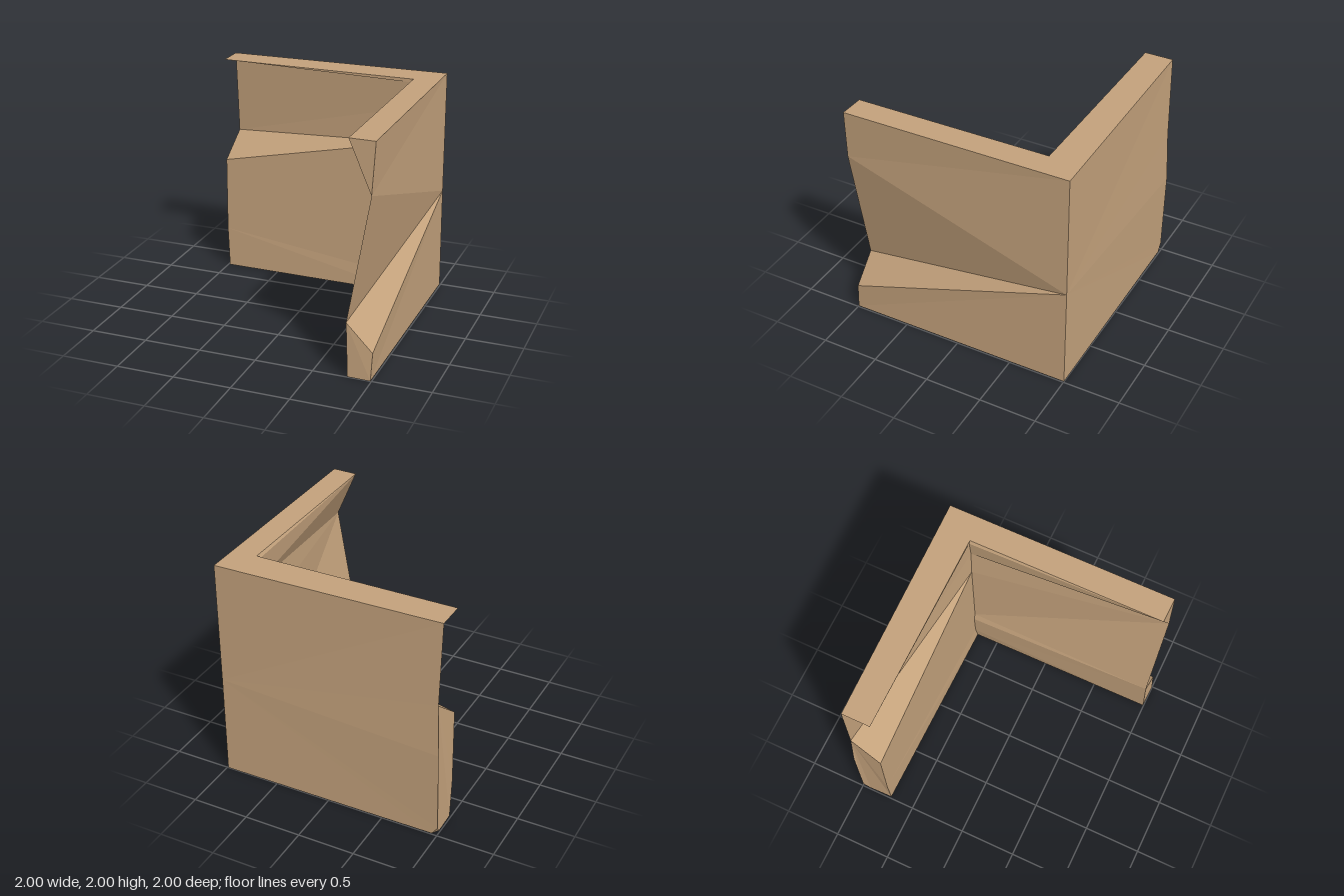
import * as THREE from 'three';

// Corner points, named by where they sit on the L-shaped wall
const P = {
  // outer corner, top to bottom
  o1: [0.985, 2, -1], o2: [0.985, 0.915, -1], o3: [0.99, 0, -1],
  // inner corner, top to bottom
  i1: [0.765, 2, -0.715], i2: [0.75, 1.97, -0.715], i3: [0.77, 1.75, -0.715], i4: [0.755, 1.43, -0.71],
  i5: [0.77, 0.5, -0.71], i6: [0.75, 0.43, -0.71], i7: [0.765, 0.15, -0.71], i8: [0.785, 0, -0.7],
  // broken end of the side wall
  b1: [0.775, 2, 0.985], b2: [0.995, 2, 0.99], b3: [0.97, 1.565, 1], b4: [0.775, 0.47, 0.985],
  b5: [1, 0.24, 0.985], b6: [0.99, 0, 1], b7: [0.795, 0, 0.995],
  // broken end of the back wall
  a1: [-1, 2, -0.72], a2: [-1, 2, -0.97], a3: [-0.98, 1.265, -0.985], a4: [-1, 1.05, -0.72],
  a5: [-0.985, 0, -0.72], a6: [-1, 0.8, -1], a9: [-1, 0.37, -0.72],
  // chip in the lower back corner
  c1: [-1, 0.07, -0.99], c2: [-0.95, 0, -0.99], c3: [-0.99, 0, -0.93],
};

// Each face group is a list of triangle fans; the first point is the hub
const faces = {
  sideWallOuter: ['o1 b2 b3', 'o2 o1 b3 b4 b5 b6 o3'],
  sideWallEnd: ['b1 b3 b2', 'b4 b7 b6 b5'],
  sideWallInner: ['b1 i1 i2 i3 b3', 'b3 i3 i4 i5 b4', 'b4 i5 i6 i7 b7', 'b7 i7 i8'],
  backWallInner: ['i1 a1 i2', 'a1 a2 i2', 'a3 i4 i3 i2 a2', 'i4 a3 a4', 'a4 a9 i5 i4', 'a9 a5 i8 i7 i6 i5'],
  backWallOuter: ['o2 o3 c2 c1 a6 a3 a2 o1'],
  backWallEnd: ['a3 a6 c1 c3 a5 a9 a4', 'c1 c2 c3'],
  wallTop: ['i1 b1 b2 o1 a2 a1'],
  wallBase: ['i8 a5 c3 c2 o3 b6 b7'],
};

function fanGeometry(fans) {
  const positions = [];
  for (const fan of fans) {
    const [hub, ...rim] = fan.split(' ').map((name) => P[name]);
    for (let k = 0; k < rim.length - 1; k++) positions.push(...hub, ...rim[k], ...rim[k + 1]);
  }
  const geometry = new THREE.BufferGeometry();
  geometry.setAttribute('position', new THREE.Float32BufferAttribute(positions, 3));
  geometry.computeVertexNormals();
  return geometry;
}

export function createModel() {
  const clay = new THREE.MeshStandardMaterial({ color: 0xc4a27c });
  clay.name = 'tan clay';
  clay.flatShading = true;

  const group = new THREE.Group();
  group.name = 'cornerWall';
  for (const [name, fans] of Object.entries(faces)) {
    const mesh = new THREE.Mesh(fanGeometry(fans), clay);
    mesh.name = name;
    group.add(mesh);
  }
  return group;
}
